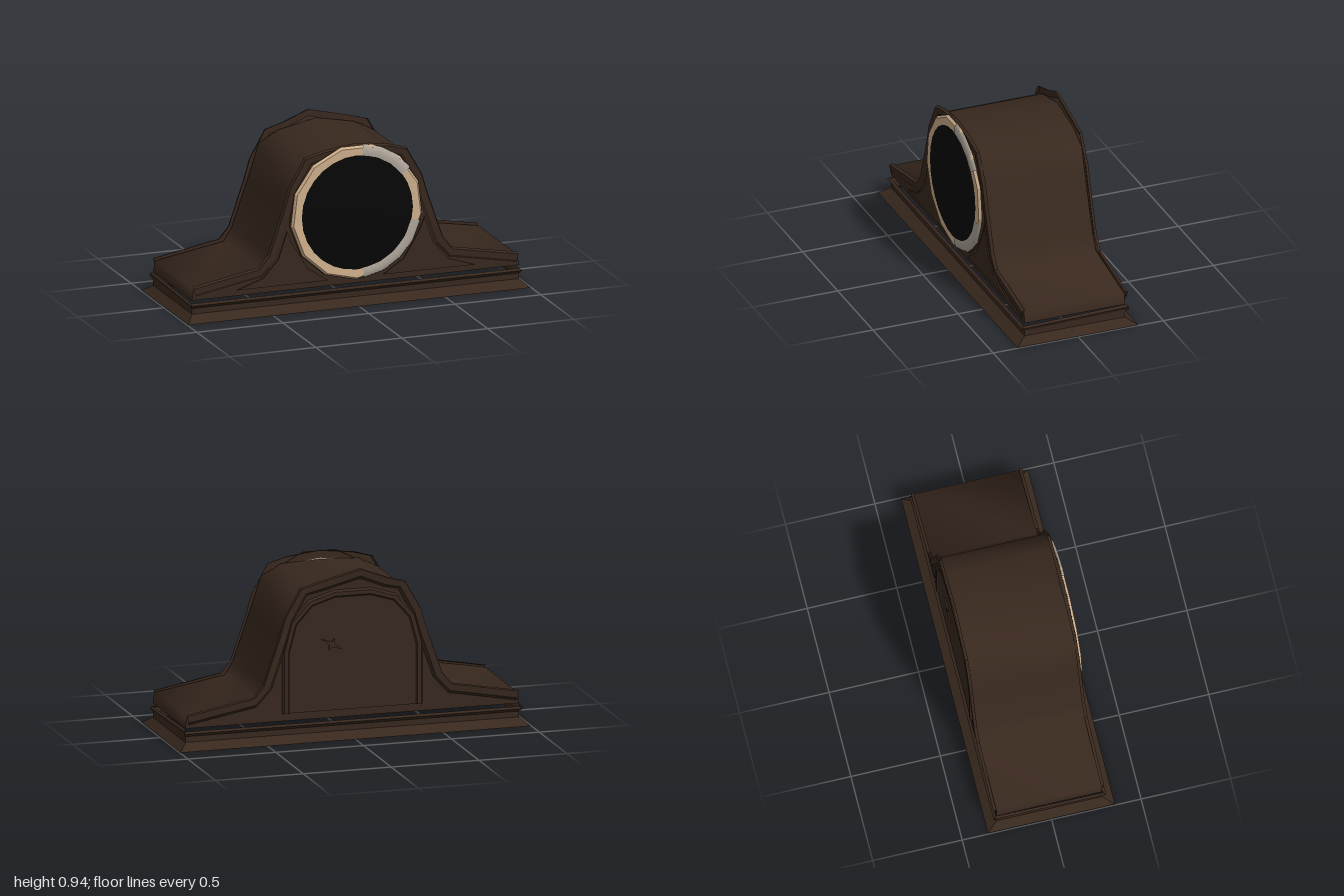
import * as THREE from 'three';
import { toCreasedNormals } from 'three/addons/utils/BufferGeometryUtils.js';

const mat = (name, color, side = THREE.DoubleSide, flatShading = false) =>
  new THREE.MeshStandardMaterial({ name, color, side, flatShading });

// Skin a list of equally long rows of points
function loft(rows, crease = 0.45) {
  const n = rows[0].length, index = [];
  for (let i = 0; i < rows.length - 1; i++) {
    for (let j = 0; j < n - 1; j++) {
      const a = i * n + j, b = a + n;
      index.push(a, b, a + 1, b, b + 1, a + 1);
    }
  }
  const g = new THREE.BufferGeometry();
  g.setAttribute('position', new THREE.Float32BufferAttribute(rows.flat(2), 3));
  g.setIndex(index);
  g.computeVertexNormals();
  return toCreasedNormals(g, crease);
}

// Half outlines from foot to crown, mirrored to a full arch
const caseHalf = [[0.95, 0.117], [0.942, 0.178], [0.54, 0.247], [0.495, 0.32],
  [0.4, 0.59], [0.335, 0.785], [0.22, 0.845]];
const trimHalf = [[0.942, 0.18], [0.56, 0.25], [0.5, 0.32], [0.41, 0.58],
  [0.378, 0.69], [0.29, 0.845], [0.19, 0.872]];
const arch = (half, crown, x0 = 0) =>
  [...half, [x0, crown], ...half.slice().reverse().map(([x, y]) => [-x, y])];

// Shift an open outline outward along its normals
function offset(points, d) {
  return points.map(([x, y], i) => {
    const a = points[Math.max(i - 1, 0)], b = points[Math.min(i + 1, points.length - 1)];
    const tx = b[0] - a[0], ty = b[1] - a[1], l = Math.hypot(tx, ty);
    return [x + (ty / l) * d, y - (tx / l) * d];
  });
}

// Moulding that follows an outline; section = [outward offset, z]
function moulding(points, section) {
  return loft(section.map(([d, z]) => offset(points, d).map(([x, y]) => [x, y, z])), 0.3);
}

const shapeOf = (points) => new THREE.Shape(points.map(([x, y]) => new THREE.Vector2(x, y)));

// Plate with a straight edge, from an outline
const plate = (points, depth) =>
  new THREE.ExtrudeGeometry(shapeOf(points), { depth, bevelEnabled: false });

// Ring about the z axis; section = [radius, z]
const ring = (section, sides, start = 0, length = Math.PI * 2) => new THREE.LatheGeometry(
  section.map(([r, z]) => new THREE.Vector2(r, z)), sides, start, length).rotateX(Math.PI / 2);

export function createModel() {
  const group = new THREE.Group();
  const wood = mat('dark wood', 0x38281e);
  const brass = mat('pale brass', 0xd0b08c, THREE.DoubleSide, true);
  const silver = mat('silver grey', 0xb0a79b);
  const black = mat('black glass', 0x060606);
  const add = (name, geometry, material, x = 0, y = 0, z = 0) => {
    const m = new THREE.Mesh(geometry, material);
    m.name = name;
    m.position.set(x, y, z);
    group.add(m);
  };

  // Open plinth, a loop at each level: [half width, half depth, y, rise of the ends at the back]
  const levels = [[0.995, 0.355, 0, 0], [0.95, 0.295, 0.04, 0], [0.95, 0.295, 0.072, 0.012],
    [0.962, 0.314, 0.09, 0.014], [0.95, 0.298, 0.1, 0.016]];
  add('plinth', loft(levels.map(([w, d, y, t]) => [[w, y, d], [w, y + t, -d], [w, y, -d],
    [-w, y, -d], [-w, y + t, -d], [-w, y, d], [w, y, d]])), wood);

  // Hollow case, slightly taller towards the back
  const front = arch(caseHalf, 0.855), back = arch(caseHalf, 0.89);
  add('caseShell', loft([
    front.map(([x, y]) => [x, y, 0.295]),
    back.map(([x, y]) => [x, y, -0.295]),
  ], 1.4), wood);

  // Front panel with the dial opening, and plain back panel
  const dialY = 0.525;
  const panel = shapeOf(front);
  panel.holes.push(new THREE.Path().absarc(0, dialY, 0.32, 0, Math.PI * 2, true));
  add('frontPanel', new THREE.ShapeGeometry(panel, 16), wood, 0, 0, 0.294);
  add('backPanel', new THREE.ShapeGeometry(shapeOf(back)).rotateY(Math.PI), wood, 0, 0, -0.294);

  // Edge mouldings around both ends of the case
  add('frontMoulding', moulding(arch(trimHalf, 0.895),
    [[-0.045, 0.296], [-0.03, 0.306], [0.004, 0.308], [0.012, 0.29]]), wood);
  add('backMoulding', moulding(arch(trimHalf, 0.93, -0.045),
    [[-0.045, -0.296], [-0.03, -0.31], [0.008, -0.313], [0.012, -0.296]]), wood);

  // Raised spandrels on either side of the dial
  for (const s of [1, -1]) {
    add(s > 0 ? 'leftSpandrel' : 'rightSpandrel', plate([[0.69, 0.15], [0.54, 0.2], [0.45, 0.3],
      [0.4, 0.45], [0.37, 0.38], [0.28, 0.23], [0.16, 0.15]].map(([x, y]) => [x * s, y]), 0.008),
      wood, 0, 0, 0.296);
  }

  // Wooden seat and faceted bezel, with a silver rim on part of its circle
  add('bezelSeat', ring([[0.388, 0.294], [0.384, 0.31], [0.36, 0.313]], 13), wood, 0, dialY, 0);
  add('bezel', ring([[0.382, 0.311], [0.372, 0.324], [0.315, 0.322]], 13), brass, 0, dialY, 0);
  const rim = [[0.381, 0.312], [0.371, 0.326], [0.34, 0.329], [0.314, 0.324]];
  add('lowerRim', ring(rim, 4, 0.1, 1.25), silver, 0, dialY, 0);
  add('upperRim', ring(rim, 3, 2.2, 0.85), silver, 0, dialY, 0);

  // Conical dial glass and the disc behind it
  add('dialGlass', ring([[0.323, 0.325], [0, 0.355]], 28), black, 0, dialY, 0);
  add('dialBacking', new THREE.CircleGeometry(0.34, 28).rotateY(Math.PI), silver, 0, dialY, 0.29);

  // Arched rear door with a raised frame
  const door = [[0.36, 0.16], [0.36, 0.5], [0.32, 0.65], [0.23, 0.75], [0.1, 0.79],
    [-0.1, 0.79], [-0.23, 0.75], [-0.32, 0.65], [-0.36, 0.5], [-0.36, 0.16]];
  add('rearDoor', plate(door, 0.008), wood, 0, 0, -0.304);
  add('rearDoorFrame', moulding(door,
    [[0, -0.3], [0.008, -0.309], [0.03, -0.309], [0.04, -0.294]]), wood);

  // Small star-shaped door knob
  const star = Array.from({ length: 8 }, (_, i) => {
    const r = i % 2 ? 0.015 : (i % 4 ? 0.035 : 0.07), a = i * Math.PI / 4 + 0.5;
    return [r * Math.cos(a), r * Math.sin(a)];
  });
  add('doorKnob', plate(star, 0.01), wood, 0.12, 0.53, -0.313);

  return group;
}
